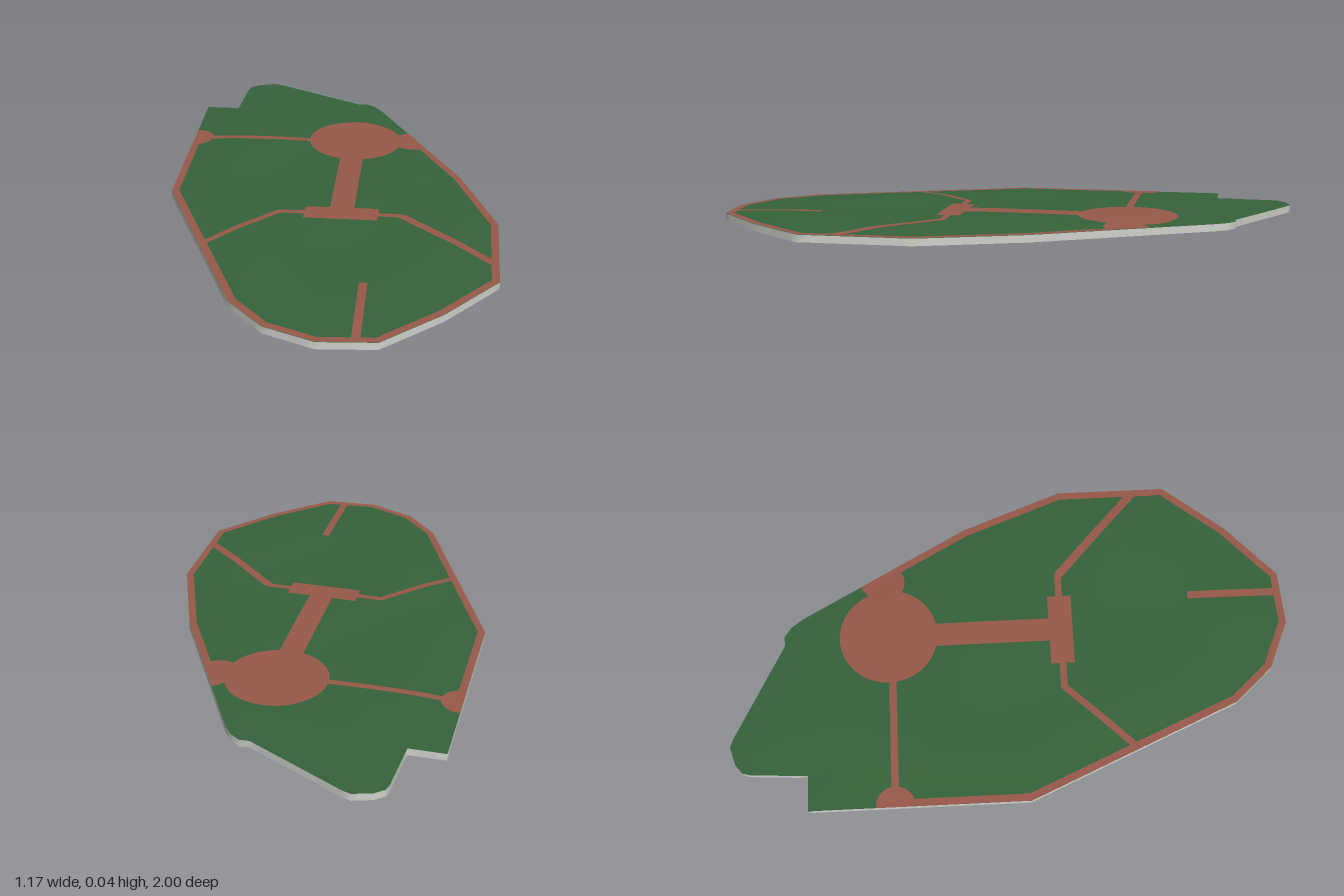
import * as THREE from 'three';
import { mergeGeometries } from 'three/addons/utils/BufferGeometryUtils.js';

const BOTTOM = 0.04, EDGE = 0.065;
const CX = 0, CZ = -0.1;
// plan corners (x, z), clockwise seen from above
const corners = [
  [-0.585, -0.728], [-0.46, -0.728], [-0.447, -0.93], [-0.44, -0.955], [-0.41, -0.98], [-0.345, -1],
  [-0.315, -0.99], [0.025, -0.81], [0.06, -0.812], [0.095, -0.787], [0.125, -0.745],
  [0.45, -0.15], [0.583, 0.205], [0.583, 0.595], [0.41, 0.81], [0.22, 0.985], [0.03, 0.998],
  [-0.14, 0.925], [-0.262, 0.79], [-0.585, 0.045],
];

// how far a point lies from the centre (0) to the edge (1)
function reach(x, z) {
  const px = x - CX, pz = z - CZ;
  for (let i = 0; i < corners.length; i++) {
    const a = corners[i], b = corners[(i + 1) % corners.length];
    const ax = a[0] - CX, az = a[1] - CZ, bx = b[0] - CX, bz = b[1] - CZ;
    const det = ax * bz - az * bx;
    const s = (px * bz - pz * bx) / det, u = (ax * pz - az * px) / det;
    if (s >= -1e-6 && u >= -1e-6) return s + u;
  }
  return 0;
}

// gentle ground relief, falling to the edge height at the rim
function ground(x, z) {
  const rise = THREE.MathUtils.smoothstep(1 - reach(x, z), 0, 0.3);
  return EDGE + rise * (0.0075 + 0.0025 * Math.sin(9 * x + 1) * Math.cos(6 * z));
}

// outline cut into short pieces
function subdivide(points, closed) {
  const out = [];
  const n = closed ? points.length : points.length - 1;
  for (let i = 0; i < n; i++) {
    const a = points[i], b = points[(i + 1) % points.length];
    const steps = Math.max(1, Math.ceil(Math.hypot(b[0] - a[0], b[1] - a[1]) / 0.05));
    for (let k = 0; k < steps; k++) {
      out.push([a[0] + (b[0] - a[0]) * k / steps, a[1] + (b[1] - a[1]) * k / steps]);
    }
  }
  if (!closed) out.push(points[points.length - 1]);
  return out;
}

// skin over successive rows of [x, y, z]
function loft(rows, closed) {
  const n = rows[0].length, index = [];
  for (let r = 0; r < rows.length - 1; r++) {
    for (let i = 0; i < (closed ? n : n - 1); i++) {
      const j = (i + 1) % n, a = r * n, b = a + n;
      index.push(a + i, b + j, b + i, a + i, a + j, b + j);
    }
  }
  const g = new THREE.BufferGeometry();
  g.setAttribute('position', new THREE.Float32BufferAttribute(rows.flat(2), 3));
  g.setIndex(index);
  g.computeVertexNormals();
  return g;
}

// lay a flat geometry (in x, z) on the ground, kept inside the outline
function drape(g) {
  g.deleteAttribute('uv');
  const p = g.attributes.position;
  for (let i = 0; i < p.count; i++) {
    let x = p.getX(i), z = p.getZ(i);
    const t = Math.max(1, reach(x, z));
    x = CX + (x - CX) / t;
    z = CZ + (z - CZ) / t;
    p.setXYZ(i, x, ground(x, z) + 0.0015, z);
  }
  g.computeVertexNormals();
  return g;
}

function strip(x1, z1, x2, z2, width) {
  const length = Math.hypot(x2 - x1, z2 - z1);
  const g = new THREE.PlaneGeometry(length, width, Math.ceil(length / 0.03), Math.ceil(width / 0.04));
  g.rotateX(-Math.PI / 2).rotateY(-Math.atan2(z2 - z1, x2 - x1));
  return drape(g.translate((x1 + x2) / 2, 0, (z1 + z2) / 2));
}

function disc(x, z, radius) {
  const g = new THREE.RingGeometry(0.0005, radius, 48, 6).rotateX(-Math.PI / 2);
  return drape(g.translate(x, 0, z));
}

export function createModel() {
  const group = new THREE.Group();
  const material = (name, color) => {
    const m = new THREE.MeshStandardMaterial({ color });
    m.name = name;
    return m;
  };
  const grass = material('grass green', 0x35633b);
  const paving = material('brick red', 0x98594a);
  const stone = material('pale grey', 0xd0d2cc);
  const add = (name, geometry, mat) => {
    const mesh = new THREE.Mesh(geometry, mat);
    mesh.name = name;
    group.add(mesh);
  };

  const outline = subdivide(corners, true);
  const ring = (t, y) => outline.map(([x, z]) => {
    const px = CX + (x - CX) * t, pz = CZ + (z - CZ) * t;
    return [px, y ?? ground(px, pz), pz];
  });

  // slab: grassy top, stone side wall, green underside
  const scales = [0.0005];
  for (let k = 1; k <= 24; k++) scales.push(k / 24);
  add('lawn', loft(scales.map((t) => ring(t)), true), grass);
  add('sideWall', loft([ring(1, EDGE), ring(1, BOTTOM)], true), stone);
  add('underside', loft([ring(1, BOTTOM), ring(0.0005, BOTTOM)], true), grass);

  // paved border round the front two thirds
  const edge = subdivide([[0.24, -0.535], ...corners.slice(11), [-0.585, -0.49]], false);
  const inset = edge.map(([x, z], i) => {
    const a = edge[Math.max(0, i - 1)], b = edge[Math.min(edge.length - 1, i + 1)];
    const dx = b[0] - a[0], dz = b[1] - a[1], l = Math.hypot(dx, dz);
    return [x - dz / l * 0.026, 0, z + dx / l * 0.026];
  });
  add('borderPath', drape(loft([inset, edge.map(([x, z]) => [x, 0, z])], false)), paving);

  // round plaza with the two landings at the edges
  add('plaza', disc(0.042, -0.437, 0.176), paving);
  add('rightLanding', disc(-0.58, -0.425, 0.068), paving);
  add('leftLanding', disc(0.25, -0.45, 0.075), paving);

  // straight paths
  const paths = {
    crossPath: [[-0.58, -0.425, -0.1, -0.425, 0.026]],
    mainWalk: [[0.039, -0.3, 0.039, 0.16, 0.085]],
    terrace: [[-0.09, 0.183, 0.167, 0.183, 0.085]],
    rightBranch: [[-0.085, 0.183, -0.183, 0.183, 0.024], [-0.178, 0.183, -0.41, 0.425, 0.024]],
    leftBranch: [[0.16, 0.183, 0.255, 0.183, 0.024], [0.25, 0.185, 0.58, 0.49, 0.031]],
    frontPath: [[0.15, 0.65, 0.15, 0.98, 0.028]],
  };
  for (const [name, parts] of Object.entries(paths)) {
    add(name, mergeGeometries(parts.map((p) => strip(...p))), paving);
  }

  // broken rings set into the underside below the plaza
  for (const [radius, count] of [[0.176, 36], [0.15, 32], [0.06, 14]]) {
    const dashes = [];
    for (let k = 0; k < count; k++) {
      const step = Math.PI * 2 / count;
      dashes.push(new THREE.RingGeometry(radius - 0.003, radius + 0.003, 2, 1, k * step, step * 0.6));
    }
    const g = mergeGeometries(dashes).rotateX(Math.PI / 2).translate(0.042, BOTTOM - 0.001, -0.437);
    add('undersideRing', g, stone);
  }
  return group;
}
